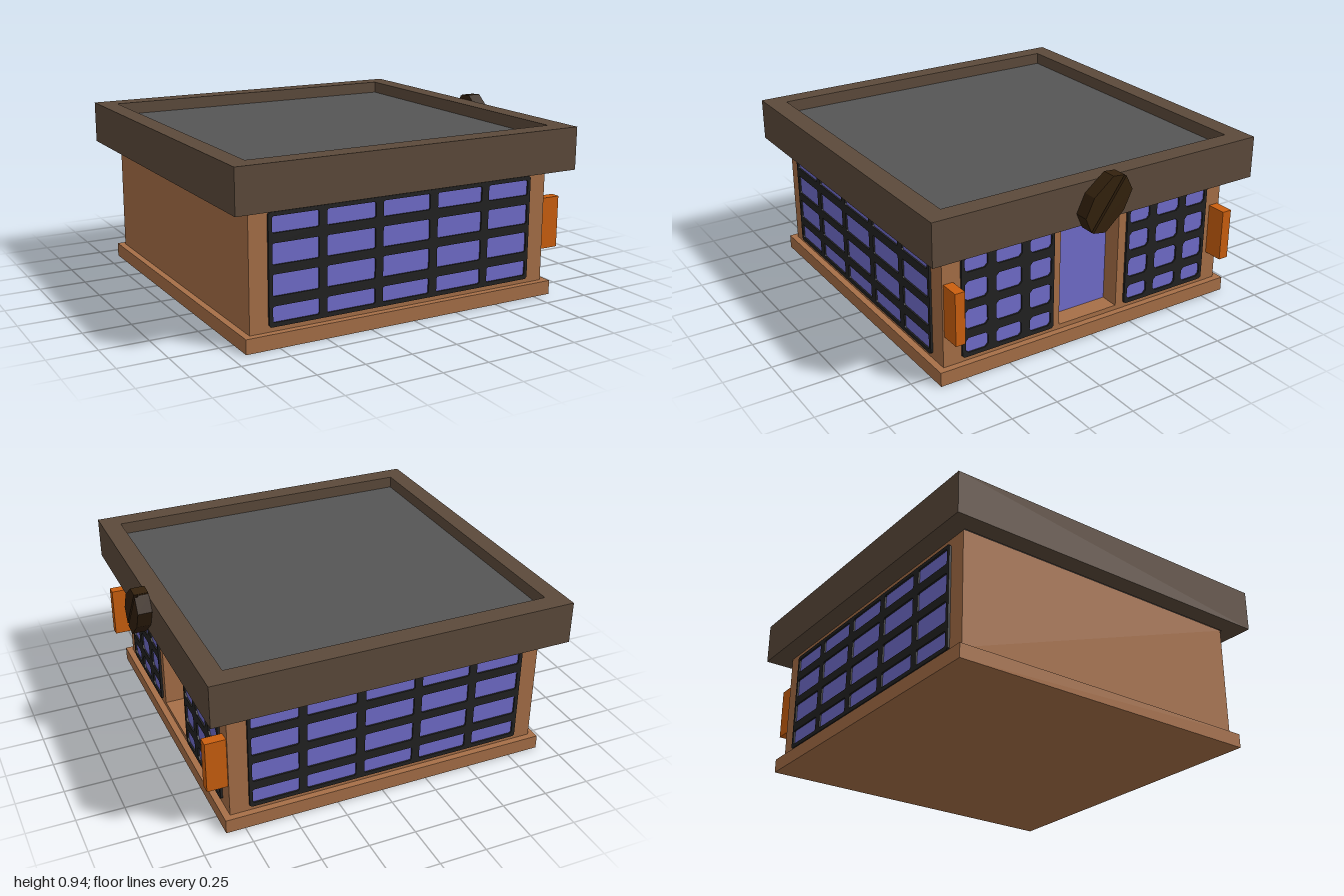
import * as THREE from 'three';

export function createModel() {
  const root = new THREE.Group();
  root.name = 'shop';
  const mat = (name, color) => {
    const m = new THREE.MeshStandardMaterial({ color });
    m.name = name;
    return m;
  };
  const wood = mat('wood', 0xa66f47);
  const roofBrown = mat('roofBrown', 0x5c4a3b);
  const deckGrey = mat('deckGrey', 0x555555);
  const frameBlack = mat('frameBlack', 0x222222);
  const glass = mat('glass', 0x706ccb);
  const orange = mat('orange', 0xcb5f0f);
  const beanBrown = mat('beanBrown', 0x33210d);

  const add = (name, geo, material, parent = root) => {
    const mesh = new THREE.Mesh(geo, material);
    mesh.name = name;
    parent.add(mesh);
    return mesh;
  };
  // Box given by its limits on each axis
  const box = (name, material, x0, x1, y0, y1, z0, z1, parent = root) => {
    const mesh = add(name, new THREE.BoxGeometry(x1 - x0, y1 - y0, z1 - z0), material, parent);
    mesh.position.set((x0 + x1) / 2, (y0 + y1) / 2, (z0 + z1) / 2);
    return mesh;
  };
  // Rectangle outline with cut corners
  const cutRect = (x0, x1, y0, y1, c) => [
    [x0 + c, y0], [x1 - c, y0], [x1, y0 + c], [x1, y1 - c],
    [x1 - c, y1], [x0 + c, y1], [x0, y1 - c], [x0, y0 + c],
  ].map(([x, y]) => new THREE.Vector2(x, y));
  const extrude = (shape, depth) =>
    new THREE.ExtrudeGeometry(shape, { depth, bevelEnabled: false });

  // Base and walls, with a doorway set into the +x wall
  box('base', wood, -0.925, 0.85, 0, 0.075, -0.89, 0.89);
  box('walls', wood, -0.89, 0.705, 0.075, 0.69, -0.855, 0.855);
  box('doorWallFront', wood, 0.705, 0.815, 0.075, 0.69, 0.182, 0.855);
  box('doorWallBack', wood, 0.705, 0.815, 0.075, 0.69, -0.855, -0.178);
  box('threshold', wood, 0.705, 0.815, 0.075, 0.1, -0.178, 0.182);
  box('lintel', wood, 0.705, 0.815, 0.66, 0.69, -0.178, 0.182);
  box('door', glass, 0.705, 0.712, 0.1, 0.66, -0.178, 0.182);

  // Roof parapet with a sunken deck
  const rim = new THREE.Shape(cutRect(-1, 0.925, -0.962, 0.962, 0));
  rim.holes.push(new THREE.Path(cutRect(-0.9, 0.82, -0.855, 0.855, 0)));
  const parapet = add('parapet', extrude(rim, 0.225), roofBrown);
  parapet.rotation.x = -Math.PI / 2;
  parapet.position.y = 0.685;
  box('roofDeck', deckGrey, -0.9, 0.82, 0.8, 0.845, -0.855, 0.855);

  // Windows: a grid frame in front of a glass plate, facing local +z
  const rows = [[0.122, 0.202], [0.25, 0.357], [0.403, 0.507], [0.556, 0.636]];
  const makeWindow = (name, x0, x1, columns, cut) => {
    const g = new THREE.Group();
    g.name = name;
    const outline = new THREE.Shape(cutRect(x0, x1, 0.1, 0.656, 0.01));
    for (const [a, b] of columns) {
      for (const [c, d] of rows) outline.holes.push(new THREE.Path(cutRect(a, b, c, d, cut)));
    }
    add('windowFrame', extrude(outline, 0.012), frameBlack, g);
    box('windowGlass', glass, x0 + 0.01, x1 - 0.01, 0.11, 0.646, -0.002, 0.003, g);
    root.add(g);
    return g;
  };
  const wide = [[-0.773, -0.527], [-0.484, -0.217], [-0.174, 0.095], [0.141, 0.408], [0.451, 0.698]];
  makeWindow('frontWindow', -0.793, 0.715, wide, 0.007).position.z = 0.855;
  const mirrored = wide.map(([a, b]) => [-b, -a]);
  const back = makeWindow('backWindow', -0.715, 0.793, mirrored, 0.007);
  back.rotation.y = Math.PI;
  back.position.z = -0.855;
  const narrow = [[0.242, 0.368], [0.416, 0.563], [0.61, 0.737]];
  const sides = [
    makeWindow('doorWindowBack', 0.225, 0.755, narrow, 0.016),
    makeWindow('doorWindowFront', -0.755, -0.225, narrow.map(([a, b]) => [-b, -a]), 0.016),
  ];
  for (const w of sides) {
    w.rotation.y = Math.PI / 2;
    w.position.x = 0.815;
  }

  // Wall lamps at both ends of the door side
  box('lampFront', orange, 0.815, 0.922, 0.243, 0.52, 0.795, 0.847);
  box('lampBack', orange, 0.815, 0.922, 0.243, 0.52, -0.845, -0.79);

  // Bean emblem: thin core and two halves with a slit; points are (-z, y)
  const bean = new THREE.Group();
  bean.name = 'beanEmblem';
  const half = [[0.054, 0.93], [-0.018, 0.94], [-0.127, 0.853], [-0.173, 0.755], [-0.132, 0.672]];
  const other = [[-0.132, 0.672], [-0.054, 0.656], [0.054, 0.75], [0.1, 0.848], [0.054, 0.93]];
  const shapeOf = (pts) => new THREE.Shape(pts.map(([x, y]) => new THREE.Vector2(x, y)));
  add('beanCore', extrude(shapeOf([...half, ...other.slice(1, 4)]), 0.055), beanBrown, bean);
  for (const [pts, s] of [[half, -1], [other, 1]]) {
    const trimmed = pts.map(([x, y], i) =>
      i === 0 || i === 4 ? [x + s * 0.006, y - s * 0.004] : [x, y]);
    add('beanHalf', extrude(shapeOf(trimmed), 0.075), beanBrown, bean);
  }
  bean.rotation.y = Math.PI / 2;
  bean.position.x = 0.925;
  root.add(bean);

  return root;
}
